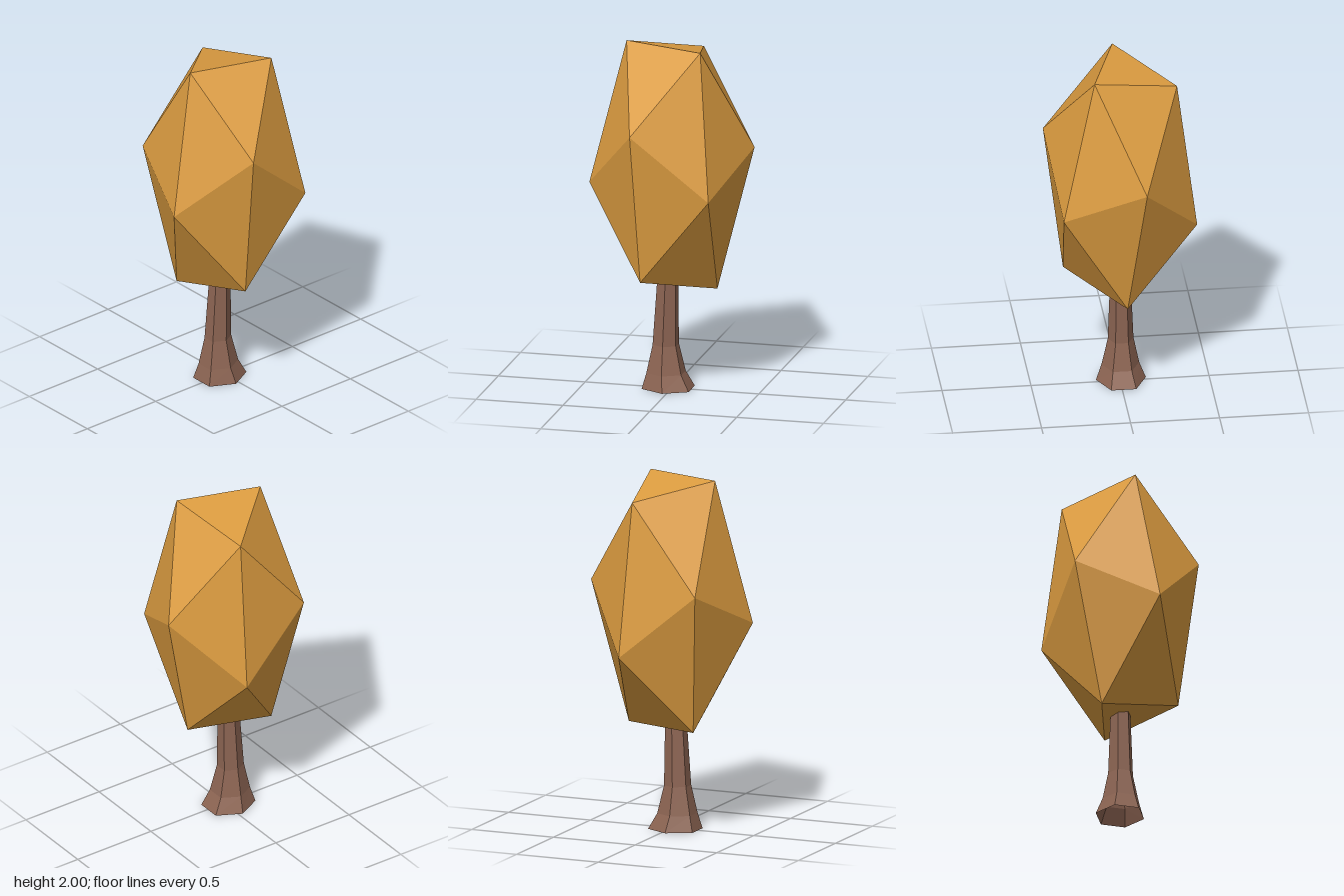
import * as THREE from 'three';
import { ConvexGeometry } from 'three/addons/geometries/ConvexGeometry.js';

const foliageOrange = new THREE.MeshStandardMaterial({ color: 0xdc9c40, flatShading: true });
foliageOrange.name = 'foliageOrange';
const barkBrown = new THREE.MeshStandardMaterial({ color: 0x8d6553, flatShading: true, side: THREE.DoubleSide });
barkBrown.name = 'barkBrown';

// Crown: a stretched, tilted icosahedron, given by six corners and their opposites
function crownGeometry() {
  const midY = 1.295;
  const corners = [
    [-0.1, 0.105, -0.45], [0.417, 0.258, 0.138], [-0.35, 0.11, 0.298],
    [0.167, 0.703, -0.205], [-0.308, 0.61, -0.105], [0.013, 0.705, 0.258],
  ];
  const points = corners.flatMap(([x, y, z]) => [
    new THREE.Vector3(x, midY + y, z),
    new THREE.Vector3(-x, midY - y, -z),
  ]);
  return new ConvexGeometry(points);
}

// Trunk: open six-sided tube whose rings flare towards the ground
function trunkGeometry() {
  // [height, centre x, centre z, radius x, radius z], top to bottom
  const rings = [
    [0.63, -0.005, 0.026, 0.058, 0.061],
    [0.25, -0.008, 0.038, 0.072, 0.077],
    [0.09, -0.006, 0.036, 0.106, 0.115],
    [0, -0.008, 0.024, 0.14, 0.156],
  ];
  const sides = 6;
  const geometry = new THREE.CylinderGeometry(1, 1, 1, sides, rings.length - 1, true, Math.PI / 2);
  const pos = geometry.attributes.position;
  for (let i = 0; i < pos.count; i++) {
    const [y, cx, cz, rx, rz] = rings[Math.floor(i / (sides + 1))];
    pos.setXYZ(i, cx + pos.getX(i) * rx, y, cz + pos.getZ(i) * rz);
  }
  geometry.computeVertexNormals();
  return geometry;
}

export function createModel() {
  const tree = new THREE.Group();
  tree.name = 'tree';
  const crown = new THREE.Mesh(crownGeometry(), foliageOrange);
  crown.name = 'crown';
  const trunk = new THREE.Mesh(trunkGeometry(), barkBrown);
  trunk.name = 'trunk';
  tree.add(crown, trunk);
  return tree;
}
